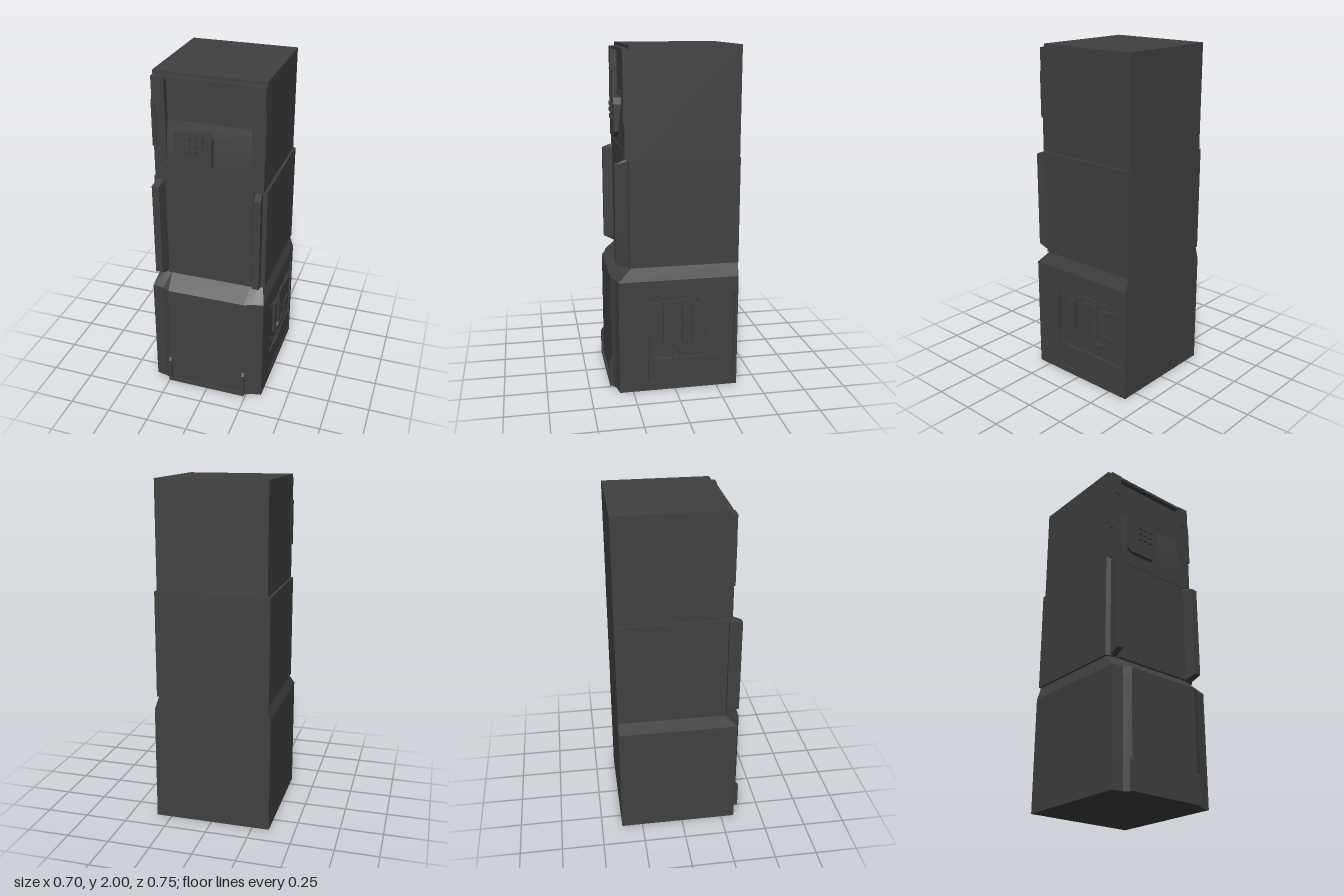
import * as THREE from 'three';

const mat = new THREE.MeshStandardMaterial({ color: 0x404040, flatShading: true });
const MID = -0.006; // shared mirror plane of the cabinet

export function createModel() {
  const model = new THREE.Group();

  const add = (name, geometry, parent = model) => {
    const mesh = new THREE.Mesh(geometry, mat);
    mesh.name = name;
    parent.add(mesh);
    return mesh;
  };
  const box = (name, x0, x1, y0, y1, z0, z1, parent) =>
    add(name, new THREE.BoxGeometry(x1 - x0, y1 - y0, z1 - z0)
      .translate((x0 + x1) / 2, (y0 + y1) / 2, (z0 + z1) / 2), parent);
  const shapeOf = (pts) => new THREE.Shape(pts.map(([a, b]) => new THREE.Vector2(a, b)));
  // Extrude a front outline (x, y) along z
  const frontExtrude = (name, pts, z0, z1, parent) =>
    add(name, new THREE.ExtrudeGeometry(shapeOf(pts), { depth: z1 - z0, bevelEnabled: false })
      .translate(0, 0, z0), parent);
  // Extrude a side outline (z, y) along x
  const sideExtrude = (name, pts, x0, x1, parent, hole) => {
    const shape = shapeOf(pts);
    if (hole) shape.holes.push(new THREE.Path(hole.map(([a, b]) => new THREE.Vector2(a, b))));
    return add(name, new THREE.ExtrudeGeometry(shape, { depth: x1 - x0, bevelEnabled: false })
      .rotateY(-Math.PI / 2).translate(x1, 0, 0), parent);
  };
  const rect = (a0, a1, b0, b1) => [[a0, b0], [a1, b0], [a1, b1], [a0, b1]];

  // Loft between horizontal convex rings: { y, pts: [[x, z], ...] }
  const loft = (name, rings) => {
    const pos = [];
    const put = (r, i) => {
      const p = r.pts[i % r.pts.length];
      pos.push(p[0], r.y, p[1]);
    };
    const n = rings[0].pts.length;
    for (let k = 0; k < rings.length - 1; k++) {
      const a = rings[k], b = rings[k + 1];
      for (let i = 0; i < n; i++) {
        put(a, i); put(a, i + 1); put(b, i + 1);
        put(a, i); put(b, i + 1); put(b, i);
      }
    }
    const low = rings[0], top = rings[rings.length - 1];
    for (let i = 1; i < n - 1; i++) {
      put(top, 0); put(top, i); put(top, i + 1);
      put(low, 0); put(low, i + 1); put(low, i);
    }
    const g = new THREE.BufferGeometry();
    g.setAttribute('position', new THREE.Float32BufferAttribute(pos, 3));
    g.computeVertexNormals();
    return add(name, g);
  };

  // Base with chamfered front corners and a sloping shoulder
  const baseRing = (y, xr) => ({
    y, pts: [[-0.35, -0.376], [-0.35, 0.33], [-0.285, 0.341], [-0.24, 0.362],
      [0.23, 0.362], [0.275, 0.341], [xr, 0.33], [xr, -0.376]],
  });
  const shoulder = {
    y: 0.76, pts: [[-0.325, -0.376], [-0.325, 0.25], [-0.295, 0.26], [-0.25, 0.265],
      [0.24, 0.265], [0.285, 0.26], [0.312, 0.25], [0.312, -0.376]],
  };
  loft('base', [baseRing(0, 0.328), baseRing(0.62, 0.328), baseRing(0.62, 0.34),
    baseRing(0.68, 0.34), shoulder]);
  box('kickStrip', -0.25, 0.24, 0, 0.02, 0.35, 0.376);
  for (const s of [-1, 1]) {
    const x = MID + s * 0.238;
    sideExtrude('kickRib', [[0.35, 0], [0.377, 0], [0.377, 0.155], [0.362, 0.175], [0.35, 0.175]],
      x - 0.008, x + 0.008);
  }

  // Side wall with a window onto the circuit board
  sideExtrude('windowFrame', rect(-0.376, 0.33, 0, 0.62), 0.328, 0.34, model,
    rect(-0.355, 0.16, 0.04, 0.59));
  const board = new THREE.Group();
  board.name = 'circuitBoard';
  model.add(board);
  const chip = (name, z0, z1, y0, y1, x1 = 0.338) => box(name, 0.326, x1, y0, y1, z0, z1, board);
  chip('lowerCover', -0.352, 0.157, 0.043, 0.19, 0.337);
  chip('boardPlate', -0.345, 0.15, 0.2, 0.58, 0.331);
  chip('heatSink', 0.012, 0.07, 0.305, 0.515, 0.345);
  for (const z of [-0.155, -0.097]) chip('cardSlot', z, z + 0.052, 0.3, 0.525, 0.343);
  for (const z of [-0.168, -0.036]) {
    for (let i = 0; i < 5; i++) chip('slotClip', z, z + 0.01, 0.325 + i * 0.04, 0.34 + i * 0.04);
  }
  sideExtrude('socket', [[-0.155, 0.205], [-0.04, 0.205], [-0.02, 0.225], [-0.02, 0.28],
    [-0.04, 0.3], [-0.155, 0.3], [-0.175, 0.28], [-0.175, 0.225]], 0.326, 0.342, board);
  for (const z of [-0.155, -0.12, -0.085, -0.05]) {
    for (const y of [0.215, 0.275]) chip('socketPin', z - 0.008, z + 0.014, y, y + 0.018, 0.348);
  }
  chip('upperConnector', -0.3, -0.19, 0.492, 0.517, 0.341);
  for (let i = 0; i < 5; i++) chip('connectorPin', -0.292 + i * 0.021, -0.28 + i * 0.021, 0.498, 0.511, 0.345);
  chip('lowerConnector', -0.3, -0.19, 0.31, 0.355, 0.341);
  for (const [z, y] of [[-0.17, 0.44], [-0.2, 0.44], [-0.34, 0.42], [-0.34, 0.23], [0.1, 0.27],
    [0.04, 0.23], [0.0, 0.27], [-0.2, 0.285], [-0.225, 0.265], [-0.285, 0.265], [-0.32, 0.505]]) {
    chip('component', z - 0.008, z + 0.008, y - 0.009, y + 0.009);
  }
  const wire = (pts) => add('wire', new THREE.TubeGeometry(
    new THREE.CatmullRomCurve3(pts.map(([z, y, x]) => new THREE.Vector3(x, y, z))), 24, 0.003, 6), board);
  wire([[0.14, 0.54, 0.333], [0.04, 0.55, 0.345], [-0.03, 0.555, 0.347], [-0.06, 0.565, 0.345],
    [-0.13, 0.555, 0.345], [-0.25, 0.555, 0.333]]);
  wire([[0.1, 0.2, 0.334], [0.02, 0.203, 0.345], [-0.1, 0.203, 0.344], [-0.26, 0.2, 0.334]]);

  // Middle section with its two front rails
  const midPts = [[-0.34, -0.376], [-0.34, 0.258], [-0.31, 0.27], [0.298, 0.27], [0.325, 0.258], [0.325, -0.376]];
  loft('middleSection', [{ y: 0.76, pts: midPts }, { y: 1.38, pts: midPts }]);
  box('middlePanel', -0.262, 0.25, 0.762, 1.378, 0.26, 0.282);
  const railRing = (y, z, s) => {
    const pts = [[MID - 0.305, 0.25], [MID - 0.305 - (z - 0.28) * 0.2, z],
      [MID - 0.275, z], [MID - 0.258, 0.25]];
    return { y, pts: s < 0 ? pts : pts.map(([x, q]) => [2 * MID - x, q]).reverse() };
  };
  for (const s of [-1, 1]) {
    loft('frontRail', [railRing(0.762, 0.285, s), railRing(0.79, 0.34, s),
      railRing(1.355, 0.34, s), railRing(1.378, 0.285, s)]);
  }

  // Top section: body, columns, corner blocks and lintel
  box('topSection', -0.325, 0.31, 1.38, 2, -0.376, 0.235);
  box('topTrim', -0.325, 0.31, 1.975, 2, 0.23, 0.252);
  box('lintel', -0.25, 0.238, 1.962, 1.98, 0.23, 0.28);
  box('sill', -0.25, 0.238, 1.38, 1.43, 0.23, 0.283);
  for (const s of [-1, 1]) {
    const span = (a, b) => [MID + s * a, MID + s * b].sort((p, q) => p - q);
    const [a0, a1] = span(0.244, 0.3165);
    box('column', a0, a1, 1.38, 1.845, 0.23, 0.281);
    box('cornerBlock', a0, a1, 1.84, 1.978, 0.23, 0.287);
    const [b0, b1] = span(0.3, 0.322);
    sideExtrude('sideGuard', [[0.262, 1.58], [0.287, 1.58], [0.287, 1.845], [0.25, 1.845],
      [0.212, 1.82], [0.212, 1.65], [0.262, 1.625]], b0, b1);
  }

  // Recessed screen above, bulging control face below
  const face = [[0.23, 1.43], [0.278, 1.43]];
  for (let i = 1; i <= 8; i++) {
    const t = i / 8;
    face.push([0.278 - 0.03 * t * t, 1.43 + 0.3 * t]);
  }
  face.push([0.248, 1.962], [0.23, 1.962]);
  sideExtrude('frontFace', face, -0.25, 0.238);

  // Keypad
  const keypad = new THREE.Group();
  keypad.name = 'keypad';
  model.add(keypad);
  frontExtrude('keypadPlate', [[-0.165, 1.462], [-0.015, 1.462], [0.02, 1.5], [0.02, 1.655],
    [-0.015, 1.692], [-0.165, 1.692]], 0.24, 0.304, keypad);
  frontExtrude('keypadEdge', [[-0.2, 1.485], [-0.165, 1.462], [-0.165, 1.692], [-0.2, 1.67]],
    0.24, 0.294, keypad);
  for (let r = 0; r < 3; r++) {
    for (let c = 0; c < 3; c++) {
      const x = -0.13 + c * 0.038, y = 1.565 + r * 0.038;
      box('key', x, x + 0.026, y, y + 0.024, 0.3, 0.314, keypad);
    }
  }
  return model;
}
